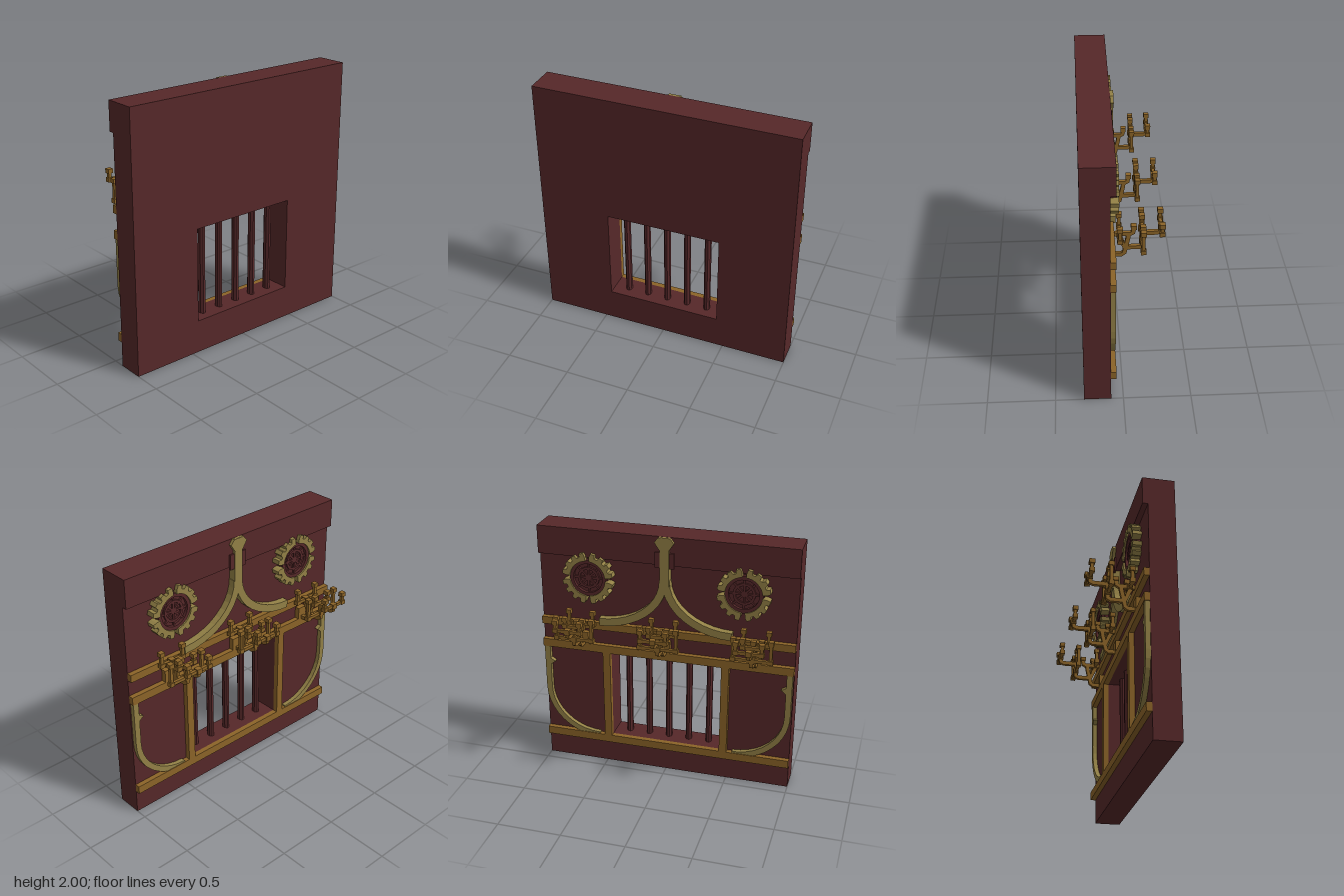
import * as THREE from 'three';

const mat = (name, color, side = THREE.FrontSide) => {
  const m = new THREE.MeshStandardMaterial({ color, side });
  m.name = name;
  return m;
};

export function createModel() {
  const red = mat('dark red timber', 0x562829);
  const gold = mat('brown gold', 0x8c6428);
  const pale = mat('pale gold', 0x938146);
  const root = new THREE.Group();

  const add = (name, geo, material, parent = root) => {
    const m = new THREE.Mesh(geo, material);
    m.name = name;
    parent.add(m);
    return m;
  };
  // box given by its limits on each axis
  const box = (name, x0, x1, y0, y1, z0, z1, material, parent) => {
    const g = new THREE.BoxGeometry(x1 - x0, y1 - y0, z1 - z0);
    g.translate((x0 + x1) / 2, (y0 + y1) / 2, (z0 + z1) / 2);
    return add(name, g, material, parent);
  };
  // outline drawn in (z, y), extruded from xBack towards -x
  const slab = (name, shape, xBack, xFront, material, parent) => {
    const g = new THREE.ExtrudeGeometry(shape, { depth: xBack - xFront, bevelEnabled: false, curveSegments: 16 });
    g.rotateY(-Math.PI / 2).translate(xBack, 0, 0);
    return add(name, g, material, parent);
  };
  const rect = (z0, z1, y0, y1, T = THREE.Shape) =>
    new T([[z0, y0], [z1, y0], [z1, y1], [z0, y1]].map(p => new THREE.Vector2(...p)));
  // band of constant width following points
  const band = (pts, w) => {
    const a = [], b = [];
    pts.forEach((p, i) => {
      const t = pts[Math.min(i + 1, pts.length - 1)].clone().sub(pts[Math.max(i - 1, 0)]).normalize();
      const n = new THREE.Vector2(-t.y, t.x).multiplyScalar(w / 2);
      a.push(p.clone().add(n));
      b.unshift(p.clone().sub(n));
    });
    return new THREE.Shape([...a, ...b]);
  };
  const arc = (cz, cy, rz, ry, a0, a1, n = 10) => Array.from({ length: n + 1 }, (_, i) => {
    const a = a0 + (a1 - a0) * i / n;
    return new THREE.Vector2(cz + rz * Math.cos(a), cy + ry * Math.sin(a));
  });

  // wall with barred window
  const wall = rect(-1, 1, 0, 2);
  wall.holes.push(rect(-0.445, 0.445, 0.26, 1, THREE.Path));
  slab('wall', wall, 0.29, 0.09, red);
  for (let i = -2; i <= 2; i++) {
    const g = new THREE.CylinderGeometry(0.033, 0.033, 0.74, 8, 1, true, Math.PI / 8).toNonIndexed();
    g.computeVertexNormals();
    g.scale(1, 1, 0.75).translate(0.19, 0.63, i * 0.165);
    add('windowBar', g, red);
  }

  // beam and rails
  box('topBeam', 0.05, 0.09, 1.78, 2, -1, 1, red);
  for (const [y0, y1] of [[0.195, 0.26], [1, 1.065], [1.195, 1.255]])
    box('rail', 0.05, 0.09, y0, y1, -1, 1, gold);

  // central finial post
  box('postBracket', 0.037, 0.05, 1.76, 1.88, -0.075, 0.075, red);
  box('finialPost', 0.03, 0.09, 1.62, 1.999, -0.035, 0.035, pale);
  slab('finialCap', new THREE.Shape([[-0.035, 1.9], [0.035, 1.9], [0.075, 1.96], [0.045, 1.998], [-0.045, 1.998], [-0.075, 1.96]]
    .map(p => new THREE.Vector2(...p))), 0.05, 0.025, pale);

  for (const s of [-1, 1]) {
    // flared arch, window post and curved side brace
    const mirror = pts => pts.map(p => new THREE.Vector2(p.x * s, p.y));
    const shapeOf = (pts, w) => band(mirror(pts), w);
    slab('archCurve', shapeOf(arc(0.52, 1.66, 0.51, 0.39, Math.PI, Math.PI * 1.5), 0.06), 0.09, 0.035, pale);
    const post = s * 0.475;
    box('windowPost', 0.05, 0.09, 0.26, 1, post - 0.03, post + 0.03, gold);
    const brace = [new THREE.Vector2(0.97, 1), ...arc(0.55, 0.64, 0.42, 0.39, 0, -Math.PI / 2)];
    slab('sideBrace', shapeOf(brace, 0.045), 0.09, 0.055, pale);
    const spur = mirror([[0.96, 0.9], [0.91, 0.87], [0.96, 0.83]].map(p => new THREE.Vector2(...p)));
    slab('braceSpur', new THREE.Shape(spur), 0.09, 0.055, pale);

    // toothed rosette
    const rosette = new THREE.Group();
    rosette.name = 'rosette';
    rosette.position.set(0, 1.62, s * 0.6);
    root.add(rosette);
    for (let q = 0; q < 4; q++) {
      const a0 = q * Math.PI / 2 + 0.1, span = Math.PI / 2 - 0.2, teeth = 4;
      const pts = arc(0, 0, 0.14, 0.14, a0 + span, a0, 8);
      for (let t = 0; t < teeth; t++) {
        for (const [f, r] of [[0, 0.175], [0.12, 0.202], [0.55, 0.202], [0.67, 0.175]]) {
          const a = a0 + span * (t + f) / (teeth - 0.33);
          pts.push(new THREE.Vector2(r * Math.cos(a), r * Math.sin(a)));
        }
      }
      slab('rosetteTeeth', new THREE.Shape(pts), 0.09, 0.022, pale, rosette);
    }
    const ring = (name, r, inner, front) => {
      const sh = new THREE.Shape().absarc(0, 0, r, 0, Math.PI * 2);
      if (inner) sh.holes.push(new THREE.Path().absarc(0, 0, inner, 0, Math.PI * 2, true));
      slab(name, sh, 0.09, front, red, rosette);
    };
    ring('rosetteDisc', 0.15, 0, 0.06);
    ring('rosetteRim', 0.145, 0.115, 0.035);
    ring('rosetteInnerRing', 0.085, 0.065, 0.045);
    for (let k = 0; k < 4; k++) {
      const m = box('rosetteSpoke', 0.048, 0.07, -0.115, 0.115, -0.008, 0.008, red, rosette);
      m.rotation.x = k * Math.PI / 4;
    }
  }

  // branched candle brackets
  const sconce = z => {
    const g = new THREE.Group();
    g.name = 'candleBracket';
    g.position.z = z;
    root.add(g);
    const bar = (name, x0, x1, y0, y1, h) => box(name, x0, x1, y0, y1, -h, h, gold, g);
    const arm = pts => {
      const sh = band(pts.map(p => new THREE.Vector2(...p)), 0.03);
      const geo = new THREE.ExtrudeGeometry(sh, { depth: 0.026, bevelEnabled: false });
      geo.translate(0, 0, -0.013);
      add('arm', geo, gold, g);
    };
    // cup on a thin stem
    const cup = (x, y0, top, cz) => {
      box('cupStem', x - 0.012, x + 0.012, y0, top - 0.03, cz - 0.012, cz + 0.012, gold, g);
      box('cup', x - 0.02, x + 0.02, top - 0.033, top, cz - 0.02, cz + 0.02, gold, g);
      box('cupBase', x - 0.019, x + 0.019, y0 - 0.015, y0 + 0.018, cz - 0.019, cz + 0.019, gold, g);
    };
    bar('wallPlate', 0.05, 0.09, 1.06, 1.16, 0.04);
    arm([[0.09, 1.075], [0, 1.075], [-0.02, 1.09], [-0.03, 1.14], [-0.045, 1.21], [-0.05, 1.25]]);
    arm([[0.05, 1.25], [-0.06, 1.25], [-0.08, 1.26], [-0.085, 1.29]]);
    arm([[0.03, 1.25], [0, 1.19], [-0.02, 1.135], [-0.125, 1.135], [-0.145, 1.145], [-0.148, 1.19]]);
    arm([[-0.145, 1.19], [-0.145, 1.26]]);
    arm([[-0.145, 1.255], [-0.25, 1.255], [-0.27, 1.263], [-0.275, 1.3]]);
    bar('cup', -0.105, -0.065, 1.29, 1.32, 0.02);
    for (const [x, y, top, h] of [[-0.275, 1.305, 1.39, 0.095], [-0.145, 1.19, 1.36, 0.14], [0.015, 1.25, 1.36, 0.095]]) {
      bar('crossBar', x - 0.012, x + 0.012, y - 0.012, y + 0.012, h);
      bar('hub', x - 0.021, x + 0.021, y - 0.02, y + 0.02, 0.022);
      for (const s of [-1, 1]) cup(x, y, top, s * h);
    }
    // inner pair on the middle cross
    for (const s of [-1, 1]) cup(-0.145, 1.29, 1.36, s * 0.07);
    bar('innerCrossBar', -0.157, -0.133, 1.275, 1.3, 0.07);
  };
  [-0.66, 0, 0.71].forEach(sconce);

  return root;
}
